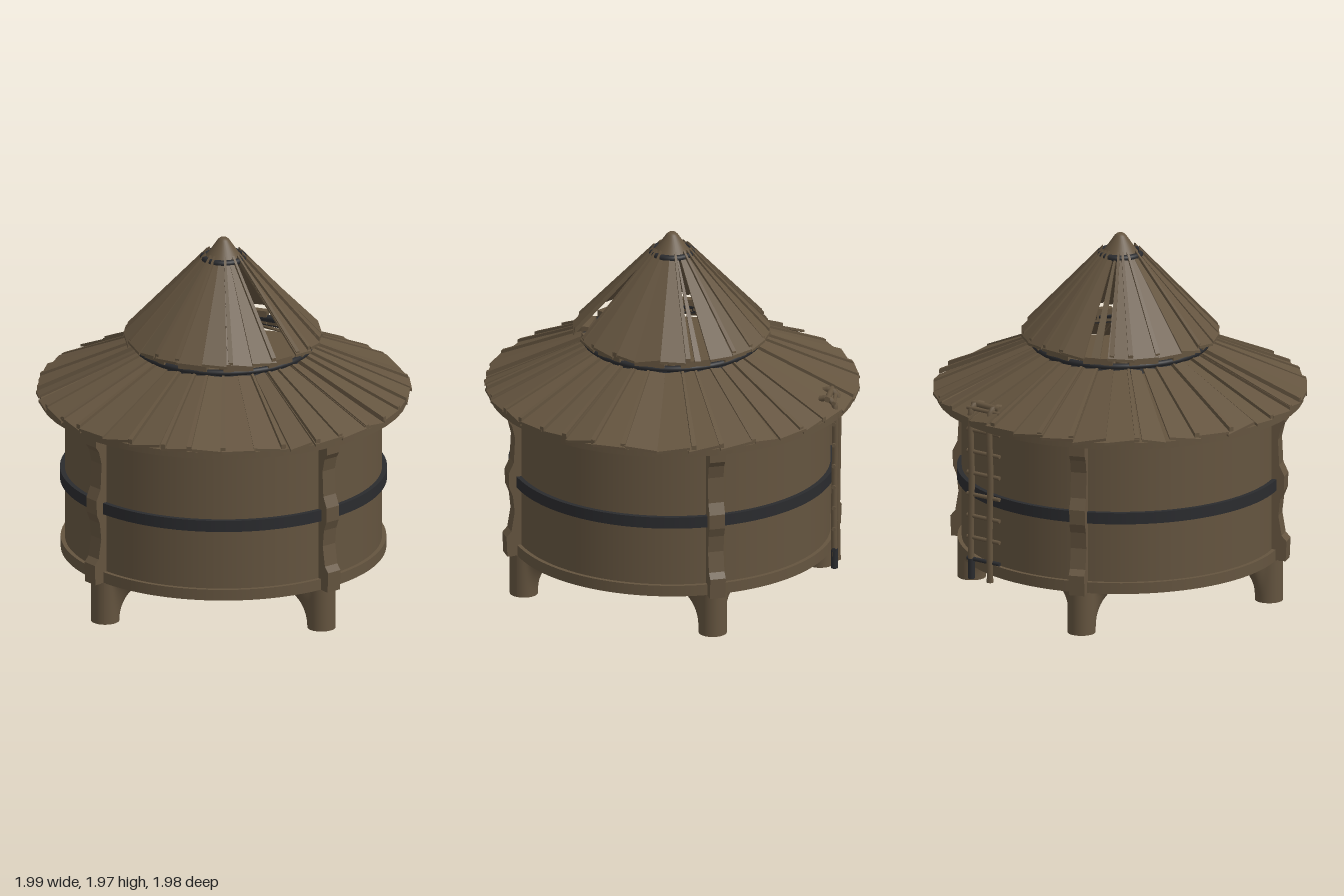
import * as THREE from 'three';
import { mergeGeometries } from 'three/addons/utils/BufferGeometryUtils.js';

const wood = new THREE.MeshStandardMaterial({ color: 0x64543f, side: THREE.DoubleSide });
wood.name = 'weatheredWood';
const iron = new THREE.MeshStandardMaterial({ color: 0x2a2b2e, side: THREE.DoubleSide });
iron.name = 'darkIron';

const rad = THREE.MathUtils.degToRad;
const lerp = THREE.MathUtils.lerp;

function seeded(seed) {
  return () => {
    seed = (seed * 16807) % 2147483647;
    return seed / 2147483647;
  };
}

function add(parent, name, geometry, material, x = 0, y = 0, z = 0) {
  const mesh = new THREE.Mesh(geometry, material);
  mesh.name = name;
  mesh.position.set(x, y, z);
  parent.add(mesh);
  return mesh;
}

// Tapered board lying on a cone, from the inner top to the outer eave
function plank(az, o) {
  const g = new THREE.BoxGeometry(1, 1, 1);
  const p = g.attributes.position;
  for (let i = 0; i < p.count; i++) {
    const t = p.getZ(i) + 0.5;
    const s = p.getX(i) * lerp(o.w0, o.w1, t);
    p.setXYZ(i, s, lerp(o.y0, o.y1, t) + p.getY(i) * o.th + s * o.roll + o.lift, lerp(o.r0, o.r1, t));
  }
  g.computeVertexNormals();
  g.rotateY(az);
  return g;
}

// Ring of uneven boards with battens; gaps maps a board's index to its width factor
function plankRoof(count, base, gaps, seed) {
  const rnd = seeded(seed);
  const list = [];
  const step = (Math.PI * 2) / count;
  for (let i = 0; i < count; i++) {
    const az = i * step;
    const k = (gaps[i] ?? 1.04);
    const jitter = (rnd() - 0.5) * 0.03;
    const roll = (rnd() - 0.5) * 0.42;
    if (k > 0) {
      list.push(plank(az, {
        ...base, r1: base.r1 + jitter * 0.5, w0: base.r0 * step * k, w1: base.r1 * step * k,
        th: 0.014, roll, lift: 0,
      }));
    }
    if (rnd() > 0.35) {
      list.push(plank(az + step * (0.5 + (rnd() - 0.5) * 0.3), {
        ...base, w0: 0.012, w1: 0.026, th: 0.024, roll: 0, lift: 0.014,
      }));
    }
  }
  return mergeGeometries(list);
}

// Round foot flaring into two pointed braces under the floor
function legGeometry() {
  const rows = 12, cols = 48, pos = [], idx = [];
  for (let i = 0; i <= rows; i++) {
    const t = i / rows;
    const e = 0.2 * (1 - Math.sqrt(1 - t * t * 0.995));
    for (let j = 0; j <= cols; j++) {
      const a = (j / cols) * Math.PI * 2;
      const spike = Math.max(0, -Math.cos(a)) ** 10 + Math.max(0, -Math.sin(a)) ** 10;
      const r = 0.075 + e * spike;
      pos.push(Math.cos(a) * r, t * 0.235, Math.sin(a) * r);
      if (i < rows && j < cols) {
        const n = i * (cols + 1) + j, up = n + cols + 1;
        idx.push(n, up, n + 1, n + 1, up, up + 1);
      }
    }
  }
  const g = new THREE.BufferGeometry();
  g.setAttribute('position', new THREE.Float32BufferAttribute(pos, 3));
  g.setIndex(idx);
  g.computeVertexNormals();
  return g;
}

// Hewn post with swellings at foot, waist and head
function postGeometry() {
  const outline = [
    [0.82, 0.23], [0.915, 0.23], [0.92, 0.34], [0.893, 0.37], [0.875, 0.48], [0.885, 0.57], [0.905, 0.62],
    [0.908, 0.7], [0.88, 0.76], [0.873, 0.9], [0.89, 0.97], [0.91, 1.0], [0.91, 1.075], [0.82, 1.075],
  ];
  const shape = new THREE.Shape(outline.map(([x, y]) => new THREE.Vector2(x, y)));
  return new THREE.ExtrudeGeometry(shape, { depth: 0.085, bevelEnabled: false }).translate(0, 0, -0.0425);
}

// Cylinder between two points
function rod(parent, name, a, b, r, material) {
  const d = b.clone().sub(a);
  const mesh = add(parent, name, new THREE.CylinderGeometry(r, r, d.length(), 10), material);
  mesh.position.copy(a).add(b).multiplyScalar(0.5);
  mesh.quaternion.setFromUnitVectors(new THREE.Vector3(0, 1, 0), d.normalize());
}

function ladder() {
  const g = new THREE.Group();
  g.name = 'ladder';
  const V = (x, y, z) => new THREE.Vector3(x, y, z);
  const feet = [[-0.18, -0.905], [-0.065, -0.952]];
  feet.forEach(([x, z], i) => {
    const path = new THREE.CatmullRomCurve3([
      V(x, 0.23, z), V(x + 0.004, 0.5, z), V(x - 0.004, 0.8, z), V(x, 1.08, z - 0.005),
      V(x, 1.15, z), V(x + 0.01, 1.18, z + 0.035), V(x + 0.015, 1.17, z + 0.08),
    ]);
    add(g, 'ladderRail', new THREE.TubeGeometry(path, 32, 0.017, 8), wood);
    rod(g, 'railFoot', V(x, 0.22, z), V(x, i ? 0.33 : 0.24, z), 0.019, i ? iron : wood);
  });
  for (let i = 0; i < 8; i++) {
    const y = 0.325 + i * 0.119;
    rod(g, 'rung', V(-0.225, y, -0.872), V(-0.04, y + 0.004, -0.962), 0.011, i ? wood : iron);
  }
  rod(g, 'topRung', V(-0.2, 1.175, -0.86), V(-0.035, 1.18, -0.925), 0.016, wood);
  return g;
}

export function createModel() {
  const model = new THREE.Group();
  model.name = 'roundGranary';

  // Drum, floor flange, waist band and eave board
  add(model, 'drumWall', new THREE.CylinderGeometry(0.84, 0.84, 0.85, 96), wood, 0, 0.66, 0);
  add(model, 'floorFlange', new THREE.CylinderGeometry(0.862, 0.862, 0.06, 96), wood, 0, 0.262, 0);
  add(model, 'waistBand', new THREE.CylinderGeometry(0.866, 0.866, 0.062, 96), iron, 0, 0.65, 0);
  add(model, 'eaveBoard', new THREE.CylinderGeometry(0.975, 0.975, 0.035, 48), wood, 0, 1.085, 0);

  // Four corner posts and legs
  const postGeo = postGeometry(), legGeo = legGeometry();
  for (let i = 0; i < 4; i++) {
    const corner = new THREE.Group();
    corner.name = 'corner';
    corner.rotation.y = (i * Math.PI) / 2;
    add(corner, 'post', postGeo, wood).rotation.y = -Math.PI / 4;
    add(corner, 'leg', legGeo, wood, 0.575, 0, 0.575);
    add(corner, 'foot', new THREE.CylinderGeometry(0.075, 0.075, 0.008, 32), wood, 0.575, 0.004, 0.575);
    model.add(corner);
  }

  // Lower roof, with a few shrunken boards leaving gaps
  const lower = { r0: 0.44, y0: 1.35, r1: 0.988, y1: 1.11 };
  const lowerGaps = { 3: 0.72, 15: 0.75, 29: 0.75, 25: 0.75, 35: 0.85, 19: 0.85 };
  add(model, 'lowerRoof', plankRoof(36, lower, lowerGaps, 71), wood);

  // Collar between the roofs
  add(model, 'collarBand', new THREE.CylinderGeometry(0.455, 0.465, 0.05, 64, 1, true), iron, 0, 1.35, 0);
  const collar = add(model, 'collarRing', new THREE.TorusGeometry(0.463, 0.016, 10, 64), iron, 0, 1.37, 0);
  collar.rotation.x = Math.PI / 2;
  for (let i = 0; i < 12; i++) {
    const a = rad(i * 30 + 15);
    const block = add(model, 'collarBlock', new THREE.BoxGeometry(0.16, 0.035, 0.04), wood,
      Math.sin(a) * 0.455, 1.395, Math.cos(a) * 0.455);
    block.rotation.y = a;
  }

  // Upper roof, with missing boards at some corners
  const upper = { r0: 0.1, y0: 1.865, r1: 0.52, y1: 1.42 };
  const upperGaps = { 3: 0, 9: 0.25, 15: 0.35, 21: 0.8 };
  add(model, 'upperRoof', plankRoof(24, upper, upperGaps, 1234), wood);
  add(model, 'kingPost', new THREE.CylinderGeometry(0.025, 0.025, 0.8, 12), wood, 0, 1.48, 0);

  // Cap and its ring
  const capProfile = [[0.11, 1.85], [0.085, 1.875], [0.03, 1.955], [0.018, 1.965], [0, 1.966]];
  add(model, 'cap', new THREE.LatheGeometry(capProfile.map(([x, y]) => new THREE.Vector2(x, y)), 32), wood);
  const capRing = add(model, 'capRing', new THREE.TorusGeometry(0.107, 0.017, 10, 40), iron, 0, 1.857, 0);
  capRing.rotation.x = Math.PI / 2;

  model.add(ladder());
  return model;
}
